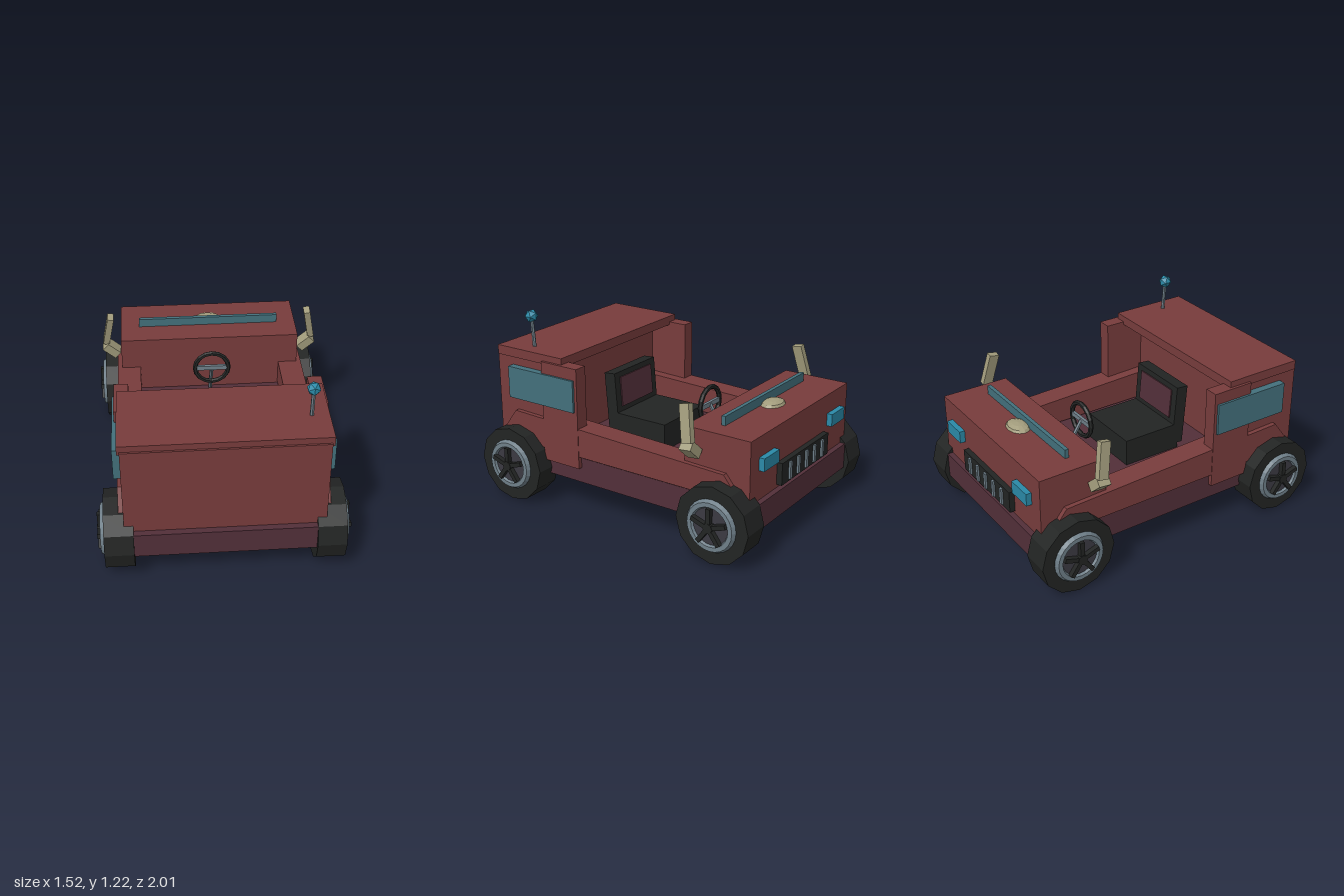
import * as THREE from 'three';

const material = (name, color, extra = {}) => {
  const m = new THREE.MeshStandardMaterial({ color, ...extra });
  m.name = name;
  return m;
};

export function createModel() {
  const red = material('body red', 0x783c3c);
  const maroon = material('chassis maroon', 0x522f39);
  const black = material('rubber black', 0x222423);
  const steel = material('rim steel', 0x6f7f89);
  const charcoal = material('hub charcoal', 0x3b3a42);
  const glass = material('window glass', 0x43707c);
  const cyan = material('lamp cyan', 0x2b8aa8);
  const tan = material('trim tan', 0xa39d7d);

  const model = new THREE.Group();
  model.name = 'car';

  function add(name, geometry, mat, parent = model) {
    // faceted normals throughout
    const g = geometry.index ? geometry.toNonIndexed() : geometry;
    g.computeVertexNormals();
    const mesh = new THREE.Mesh(g, mat);
    mesh.name = name;
    parent.add(mesh);
    return mesh;
  }
  // box given by its extents
  function box(name, mat, [x0, x1], [y0, y1], [z0, z1], parent = model) {
    const mesh = add(name, new THREE.BoxGeometry(x1 - x0, y1 - y0, z1 - z0), mat, parent);
    mesh.position.set((x0 + x1) / 2, (y0 + y1) / 2, (z0 + z1) / 2);
    return mesh;
  }
  // box extents mirrored to side s
  const side = (s, a, b) => (s > 0 ? [a, b] : [-b, -a]);
  // rod between two points
  function rod(name, mat, from, to, radius, sides = 6) {
    const a = new THREE.Vector3(...from), b = new THREE.Vector3(...to);
    const mesh = add(name, new THREE.CylinderGeometry(radius, radius, a.distanceTo(b), sides), mat);
    mesh.position.copy(a).lerp(b, 0.5);
    mesh.quaternion.setFromUnitVectors(new THREE.Vector3(0, 1, 0), b.clone().sub(a).normalize());
    return mesh;
  }

  // chassis and main body blocks
  box('chassis', maroon, [-0.6, 0.6], [0.2, 0.365], [-0.97, 0.97]);
  box('hood', red, [-0.595, 0.595], [0.36, 0.755], [-0.935, -0.495]);
  box('rearCabin', red, [-0.595, 0.595], [0.36, 0.95], [0.545, 0.93]);
  box('roof', red, [-0.61, 0.61], [0.93, 0.99], [0.4, 0.918]);

  // side sills with sloping ends, drawn as (-z, y)
  const sill = new THREE.Shape([
    [-0.87, 0.38], [-0.87, 0.46], [-0.78, 0.58], [0.78, 0.53], [0.86, 0.43], [0.86, 0.38],
  ].map(([x, y]) => new THREE.Vector2(x, y)));
  const sillGeometry = new THREE.ExtrudeGeometry(sill, { depth: 0.155, bevelEnabled: false });
  sillGeometry.rotateY(Math.PI / 2);

  for (const s of [1, -1]) {
    const label = s > 0 ? 'left' : 'right';
    add(label + 'Sill', sillGeometry, red).position.x = s > 0 ? 0.47 : -0.625;
    box(label + 'CabinPillar', red, side(s, 0.54, 0.628), [0.3, 0.95], [0.27, 0.547]);
    box(label + 'Window', glass, side(s, 0.592, 0.642), [0.67, 0.875], [0.29, 0.81]);
    box(label + 'Headlight', cyan, side(s, 0.33, 0.5), [0.55, 0.63], [-0.97, -0.93]);

    // bent side mirror
    const arm = add(label + 'MirrorArm', new THREE.BoxGeometry(0.11, 0.06, 0.08), tan);
    arm.position.set(s * 0.66, 0.65, -0.58);
    arm.rotation.set(0.1, 0, s * 0.75);
    const blade = add(label + 'MirrorBlade', new THREE.BoxGeometry(0.042, 0.225, 0.066), tan);
    blade.position.set(s * 0.675, 0.81, -0.565);
    blade.rotation.set(0.2, 0, s * 0.18);
  }

  // wheels
  for (const s of [1, -1]) for (const z of [-0.76, 0.76]) {
    const wheel = new THREE.Group();
    wheel.name = (z < 0 ? 'hoodEnd' : 'cabinEnd') + (s > 0 ? 'LeftWheel' : 'RightWheel');
    wheel.position.set(s * 0.63, 0.244, z);
    model.add(wheel);
    const drum = (name, r, x0, x1, mat, sides) => {
      const g = new THREE.CylinderGeometry(r, r, x1 - x0, sides).rotateZ(Math.PI / 2);
      add(name, g, mat, wheel).position.x = s * (x0 + x1) / 2;
    };
    drum('tyre', 0.243, -0.09, 0.085, black, 12);
    drum('hubDisc', 0.125, 0.08, 0.094, charcoal, 20);
    drum('hubCap', 0.032, 0.09, 0.13, black, 8);
    const rim = add('rim', new THREE.TorusGeometry(0.137, 0.027, 6, 24).rotateY(Math.PI / 2), steel, wheel);
    rim.position.x = s * 0.085;
    for (let i = 0; i < 5; i++) {
      const g = new THREE.BoxGeometry(0.03, 0.12, 0.028).translate(s * 0.112, 0.06, 0);
      add('spoke', g.rotateX((i * Math.PI * 2) / 5), black, wheel);
    }
  }

  // grille with bars
  box('grille', black, [-0.29, 0.29], [0.385, 0.525], [-0.97, -0.93]);
  for (let i = -2; i <= 2; i++) {
    box('grilleBar', steel, [i * 0.1 - 0.012, i * 0.1 + 0.012], [0.4, 0.51], [-0.983, -0.96]);
  }

  // windscreen strip and hood ornament
  box('windscreen', glass, [-0.47, 0.47], [0.75, 0.812], [-0.69, -0.665]);
  const ornament = add('hoodOrnament', new THREE.SphereGeometry(1, 12, 6), tan);
  ornament.position.set(0, 0.753, -0.735);
  ornament.scale.set(0.095, 0.034, 0.07);

  // seat
  box('seatCushion', black, [-0.215, 0.215], [0.36, 0.54], [-0.09, 0.31]);
  const seatBack = new THREE.Group();
  seatBack.name = 'seatBack';
  seatBack.position.set(0, 0.5, 0.31);
  seatBack.rotation.x = 0.08;
  model.add(seatBack);
  box('backrest', black, [-0.215, 0.215], [-0.1, 0.3], [-0.035, 0.045], seatBack);
  box('backrestPad', maroon, [-0.165, 0.165], [0.07, 0.265], [-0.043, -0.034], seatBack);

  // steering wheel and column
  const steering = add('steeringWheel', new THREE.TorusGeometry(0.11, 0.016, 6, 16), black);
  steering.position.set(0, 0.66, -0.285);
  box('steeringSpoke', steel, [-0.1, 0.1], [0.645, 0.675], [-0.295, -0.275]);
  rod('steeringColumn', steel, [0, 0.66, -0.285], [0, 0.36, -0.475], 0.013);

  // antenna
  rod('antennaPole', steel, [0.505, 0.98, 0.702], [0.505, 1.17, 0.717], 0.012);
  add('antennaTip', new THREE.IcosahedronGeometry(0.043, 0), cyan).position.set(0.505, 1.185, 0.718);

  return model;
}
